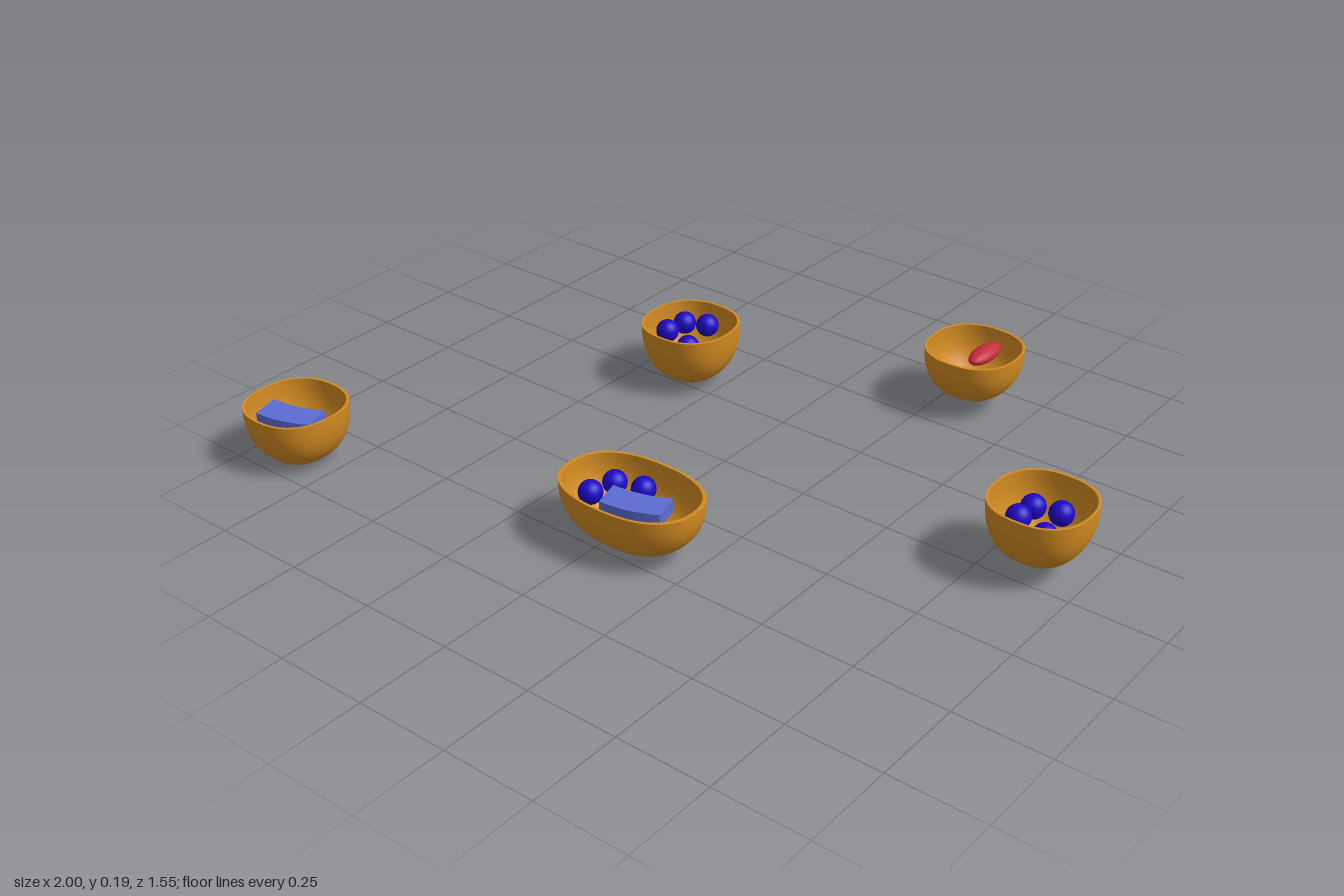
import * as THREE from 'three';
import { toCreasedNormals, mergeVertices } from 'three/addons/utils/BufferGeometryUtils.js';

const mat = (color) => new THREE.MeshStandardMaterial({ color });
const woodMat = mat(0xd38b22);
const berryMat = mat(0x1e08c8);
const barMat = mat(0x5c6cd2);
const sliceMat = mat(0xc62c40);

const sPow = (v, p) => Math.sign(v) * Math.pow(Math.abs(v), p);

// Superelliptic quarter profile of a bowl wall, from the bottom pole to the rim
function wall(radius, height, rim, steps = 14) {
  const pts = [];
  for (let i = 0; i <= steps; i++) {
    const a = (i / steps) * Math.PI / 2;
    const r = i === 0 ? 0 : sPow(Math.sin(a), 2 / 2.5);
    const d = i === steps ? 0 : sPow(Math.cos(a), 2 / 2.5);
    pts.push(new THREE.Vector2(radius * r, rim - height * d));
  }
  return pts;
}

// Thin bowl, slightly squared in plan; origin at the bottom
function makeBowl(rx, rz, height) {
  const t = 0.007;
  const profile = [...wall(1, height, height), ...wall(1 - t / rz, height - t, height).reverse()];
  const geo = new THREE.LatheGeometry(profile, 56);
  const p = geo.attributes.position;
  for (let i = 0; i < p.count; i++) {
    const x = p.getX(i), z = p.getZ(i), r = Math.hypot(x, z);
    if (r < 1e-6) continue;
    const n = 2.35;
    const k = 1 / Math.pow(Math.pow(Math.abs(x / r), n) + Math.pow(Math.abs(z / r), n), 1 / n);
    p.setX(i, x * k * rx);
    p.setZ(i, z * k * rz);
  }
  geo.deleteAttribute('uv');
  geo.deleteAttribute('normal');
  const mesh = new THREE.Mesh(toCreasedNormals(mergeVertices(geo), 0.8), woodMat);
  mesh.name = 'bowl';
  return mesh;
}

function makeBerry([x, y, z]) {
  const mesh = new THREE.Mesh(new THREE.SphereGeometry(0.031, 24, 16), berryMat);
  mesh.name = 'berry';
  mesh.position.set(x, y, z);
  return mesh;
}

// Small bar, bowed sideways along its length
function makeBar([x, y, z]) {
  const L = 0.155;
  const geo = new THREE.BoxGeometry(L, 0.036, 0.078, 8, 1, 1);
  const p = geo.attributes.position;
  for (let i = 0; i < p.count; i++) {
    const u = p.getX(i) / (L / 2);
    p.setZ(i, p.getZ(i) + 0.01 * (0.5 - u * u));
  }
  geo.computeVertexNormals();
  const mesh = new THREE.Mesh(geo, barMat);
  mesh.name = 'bar';
  mesh.position.set(x, y, z);
  mesh.rotation.y = 0.27;
  return mesh;
}

// Slim pointed-oval fruit slice
function makeSlice([x, y, z]) {
  const mesh = new THREE.Mesh(new THREE.SphereGeometry(1, 28, 18), sliceMat);
  mesh.name = 'fruitSlice';
  mesh.scale.set(0.029, 0.02, 0.067);
  mesh.position.set(x, y, z);
  return mesh;
}

// Bowl placements with the contents of each, in model coordinates
const bowls = [
  { name: 'leftmostBowl', at: [-0.873, 0, 0.648], h: 0.155, bars: [[-0.873, 0.118, 0.671]] },
  {
    name: 'backBerryBowl', at: [-0.347, 0.008, -0.293], h: 0.164,
    berries: [[-0.398, 0.138, -0.329], [-0.329, 0.147, -0.342], [-0.393, 0.148, -0.249], [-0.313, 0.13, -0.238]],
  },
  {
    name: 'ovalBowl', at: [0.06, 0.01, 0.43], h: 0.149, rx: 0.193,
    berries: [[-0.035, 0.112, 0.382], [0.056, 0.128, 0.382], [-0.051, 0.112, 0.452]],
    bars: [[0.096, 0.13, 0.459]],
  },
  { name: 'fruitBowl', at: [0.333, 0.03, -0.652], h: 0.139, slices: [[0.353, 0.146, -0.671]] },
  {
    name: 'rightBerryBowl', at: [0.872, 0.033, -0.077], h: 0.159,
    berries: [[0.834, 0.142, -0.104], [0.901, 0.142, -0.118], [0.84, 0.157, -0.024], [0.917, 0.142, -0.013]],
  },
];

export function createModel() {
  const model = new THREE.Group();
  model.name = 'bowlSet';
  for (const { name, at, h, rx = 0.127, berries = [], bars = [], slices = [] } of bowls) {
    const group = new THREE.Group();
    group.name = name;
    const bowl = makeBowl(rx, 0.127, h);
    bowl.position.set(...at);
    group.add(bowl, ...berries.map(makeBerry), ...bars.map(makeBar), ...slices.map(makeSlice));
    model.add(group);
  }
  return model;
}
